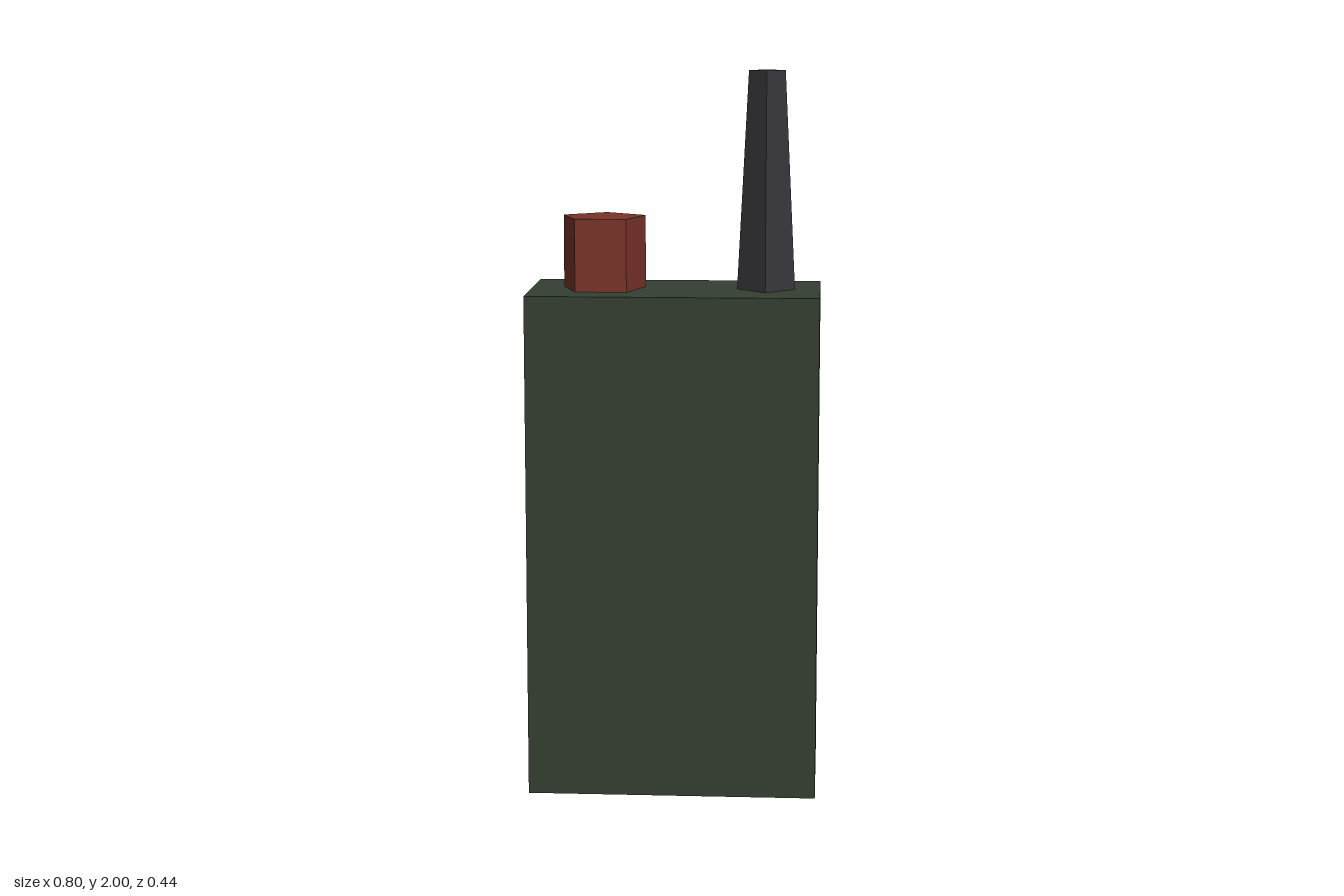
import * as THREE from 'three';

const material = (color) => new THREE.MeshStandardMaterial({ color, flatShading: true });

export function createModel() {
  const group = new THREE.Group();
  const green = material(0x353f33);
  const dark = material(0x38383c);
  const red = material(0x7a3429);
  const bodyZ = 0.022; // the rear screen pushes the case slightly forward

  const add = (name, geometry, mat, x, y, z) => {
    const mesh = new THREE.Mesh(geometry, mat);
    mesh.name = name;
    mesh.position.set(x, y, z);
    group.add(mesh);
    return mesh;
  };

  // Handset case
  add('body', new THREE.BoxGeometry(0.8, 1.4, 0.4), green, 0, 0.7, bodyZ);

  // Raised panel on the back
  add('backPanel', new THREE.BoxGeometry(0.5, 0.4, 0.044), dark, 0, 1, -0.2);

  // Tapered four-sided antenna
  add('antenna', new THREE.CylinderGeometry(0.05, 0.08, 0.6, 4), dark, 0.25, 1.7, bodyZ);

  // Five-sided knob, one corner pointing backwards
  const knob = add('knob', new THREE.CylinderGeometry(0.12, 0.12, 0.2, 5), red, -0.2, 1.5, bodyZ);
  knob.rotation.y = Math.PI;

  return group;
}
